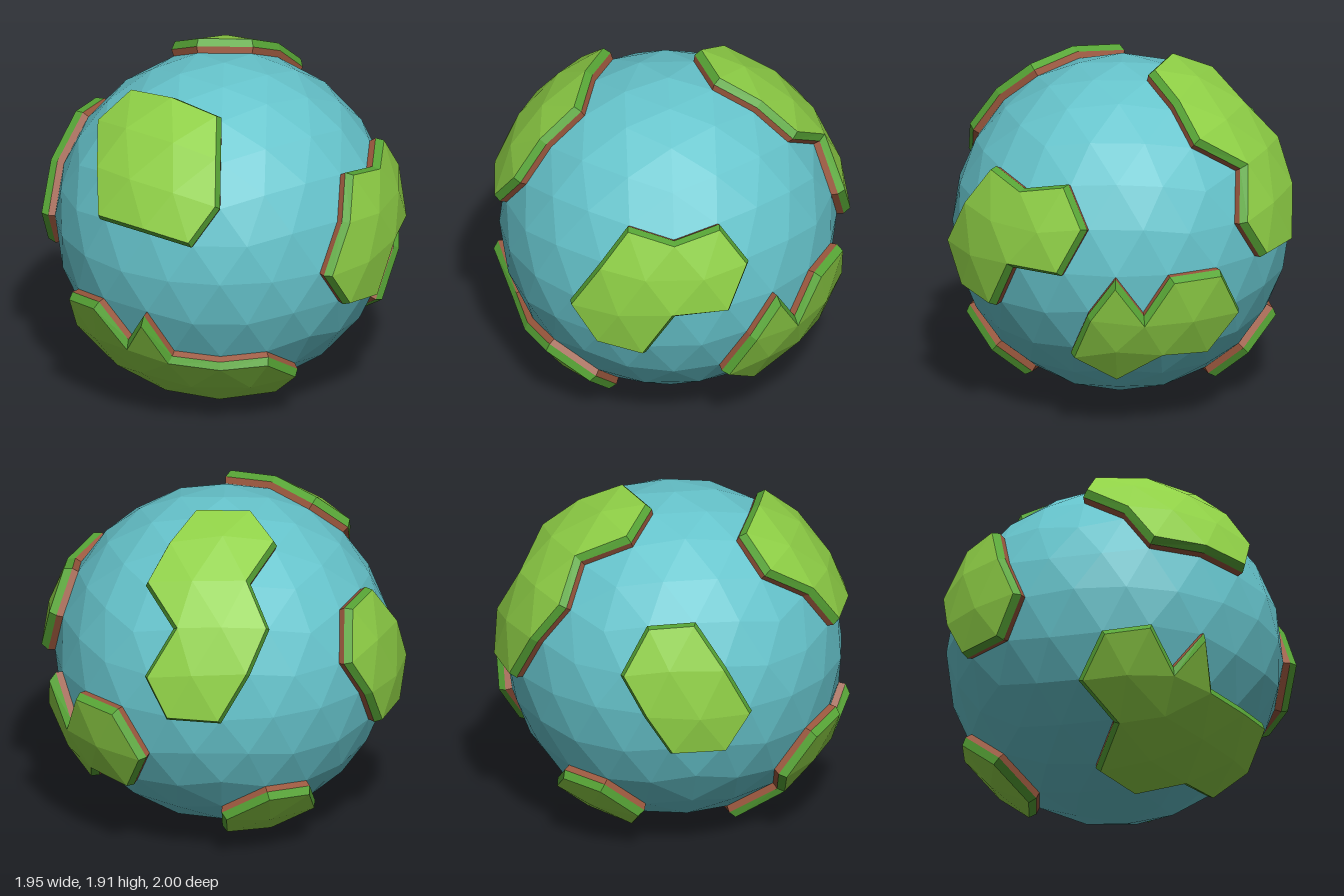
import * as THREE from 'three';

const SEA = 0.925, SHORE = 0.963, LAND = 1.0, BEVEL = 0.027;

const paint = (color) => new THREE.MeshStandardMaterial({ color, flatShading: true });
const materials = {
  sea: paint(0x66c4cc), grass: paint(0x8fd046), rim: paint(0x58a636), soil: paint(0x9a573d),
};

// Direction from longitude (0 = front, 90 = +x) and latitude in degrees
function direction([lon, lat]) {
  const a = THREE.MathUtils.degToRad(lon), b = THREE.MathUtils.degToRad(lat);
  return new THREE.Vector3(Math.cos(b) * Math.sin(a), Math.sin(b), Math.cos(b) * Math.cos(a));
}

// Icosphere with a vertex at each pole, split by edge midpoints
function icosphere(levels) {
  const ring = Math.atan(0.5) * 180 / Math.PI;
  const points = [direction([0, 90]), direction([0, -90])];
  for (let i = 0; i < 5; i++) {
    points.push(direction([18 + 72 * i, ring]), direction([54 + 72 * i, -ring]));
  }
  let faces = [];
  for (let i = 0; i < 5; i++) {
    const j = (i + 1) % 5, u = 2 + 2 * i, l = u + 1, u2 = 2 + 2 * j, l2 = u2 + 1;
    faces.push([0, u, u2], [u, l, u2], [u2, l, l2], [1, l2, l]);
  }
  // every face looks outward
  faces = faces.map(([a, b, c]) => {
    const n = points[b].clone().sub(points[a]).cross(points[c].clone().sub(points[a]));
    return n.dot(points[a]) > 0 ? [a, b, c] : [a, c, b];
  });
  for (let k = 0; k < levels; k++) {
    const cache = new Map();
    const mid = (a, b) => {
      const key = Math.min(a, b) + '_' + Math.max(a, b);
      if (!cache.has(key)) {
        cache.set(key, points.length);
        points.push(points[a].clone().add(points[b]).normalize());
      }
      return cache.get(key);
    };
    faces = faces.flatMap(([a, b, c]) => {
      const ab = mid(a, b), bc = mid(b, c), ca = mid(c, a);
      return [[a, ab, ca], [ab, b, bc], [ca, bc, c], [ab, bc, ca]];
    });
  }
  return { points, faces };
}

function meshFrom(name, corners, material) {
  const geometry = new THREE.BufferGeometry().setFromPoints(corners);
  geometry.computeVertexNormals();
  const mesh = new THREE.Mesh(geometry, material);
  mesh.name = name;
  return mesh;
}

// Faces whose centre lies within an outline, tested on a plane facing the patch
function facesInside(globe, outline) {
  const corners = outline.map((p) => {
    const d = direction(p);
    return globe.points.reduce((best, q) => (q.dot(d) > best.dot(d) ? q : best));
  });
  const axis = corners.reduce((s, p) => s.add(p), new THREE.Vector3()).normalize();
  const side = new THREE.Vector3(0.31, 0.52, 0.79).cross(axis).normalize();
  const up = axis.clone().cross(side);
  const flat = (p) => [p.dot(side) / p.dot(axis), p.dot(up) / p.dot(axis)];
  const polygon = corners.map(flat);
  return globe.faces.filter((face) => {
    const centre = new THREE.Vector3();
    face.forEach((i) => centre.add(globe.points[i]));
    if (centre.normalize().dot(axis) < 0.3) return false;
    const [x, y] = flat(centre);
    let inside = false;
    polygon.forEach(([ax, ay], i) => {
      const [bx, by] = polygon[(i + 1) % polygon.length];
      if ((ay > y) !== (by > y) && x < ax + (bx - ax) * (y - ay) / (by - ay)) inside = !inside;
    });
    return inside;
  });
}

// Raised land: grass top, bevelled green rim and soil wall
function landmass(globe, name, outline) {
  const { points } = globe;
  const faces = facesInside(globe, outline);
  const edges = faces.flatMap(([a, b, c]) => [[a, b], [b, c], [c, a]]);
  const keys = new Set(edges.map((e) => e.join('_')));
  const border = edges.filter(([a, b]) => !keys.has(b + '_' + a));

  // inward direction of the border edges at each border point
  const inward = new Map();
  for (const [a, b] of border) {
    const n = points[a].clone().cross(points[b]).normalize();
    for (const i of [a, b]) inward.set(i, [...(inward.get(i) || []), n]);
  }
  const at = (i, r) => points[i].clone().multiplyScalar(r);
  const top = (i) => {
    const p = at(i, LAND), n = inward.get(i);
    if (!n) return p;
    const shift = n.reduce((s, v) => s.add(v), new THREE.Vector3());
    return p.addScaledVector(shift, BEVEL / Math.max(0.5, 1 + n[0].dot(n[1])));
  };
  const strip = (low, high) => border.flatMap(([a, b]) =>
    [low(a), low(b), high(b), low(a), high(b), high(a)]);
  const base = (i) => at(i, SEA - 0.01), shore = (i) => at(i, SHORE);

  const group = new THREE.Group();
  group.name = name;
  group.add(
    meshFrom('grass', faces.flat().map(top), materials.grass),
    meshFrom('grassRim', strip(shore, top), materials.rim),
    meshFrom('soilWall', strip(base, shore), materials.soil),
  );
  return group;
}

// Coastlines as longitude, latitude
const coasts = {
  frontLand: [[-18, 0], [0, 30], [18, 27], [35, 30], [44, 16], [36, 0], [18, 0], [8, -16], [-9, -14]],
  upperLeftLand: [[90, 74], [162, 74], [162, 58], [142, 47], [144, 30], [136, 16], [126, 0], [108, 0],
    [99, 14], [107, 30], [90, 42]],
  lowerLeftLand: [[54, 0], [63, -14], [72, 0], [90, 0], [99, -16], [90, -32], [72, -30], [54, -42],
    [36, -30], [45, -14]],
  smallIsland: [[126, -58], [126, -42], [144, -30], [162, -32], [176, -46], [162, -63]],
  backLand: [[180, 30], [198, 32], [208, 16], [216, 0], [207, -14], [189, -14], [180, 0], [171, 14]],
  upperRightLand: [[234, 42], [234, 58], [270, 63], [306, 58], [306, 42], [306, 27], [297, 14],
    [280, 16], [260, 16], [251, 30]],
  lowerRightLand: [[279, -14], [270, -27], [261, -14], [244, -16], [234, -32], [248, -46], [234, -63],
    [270, -74], [306, -63], [342, -58], [342, -42], [324, -30], [306, -32], [288, -30]],
};

export function createModel() {
  const globe = icosphere(2);
  const planet = new THREE.Group();
  planet.name = 'planet';
  const sea = globe.faces.flat().map((i) => globe.points[i].clone().multiplyScalar(SEA));
  planet.add(meshFrom('sea', sea, materials.sea));
  for (const [name, outline] of Object.entries(coasts)) planet.add(landmass(globe, name, outline));
  planet.position.set(-0.03, 0.955, 0);

  const model = new THREE.Group();
  model.add(planet);
  return model;
}
